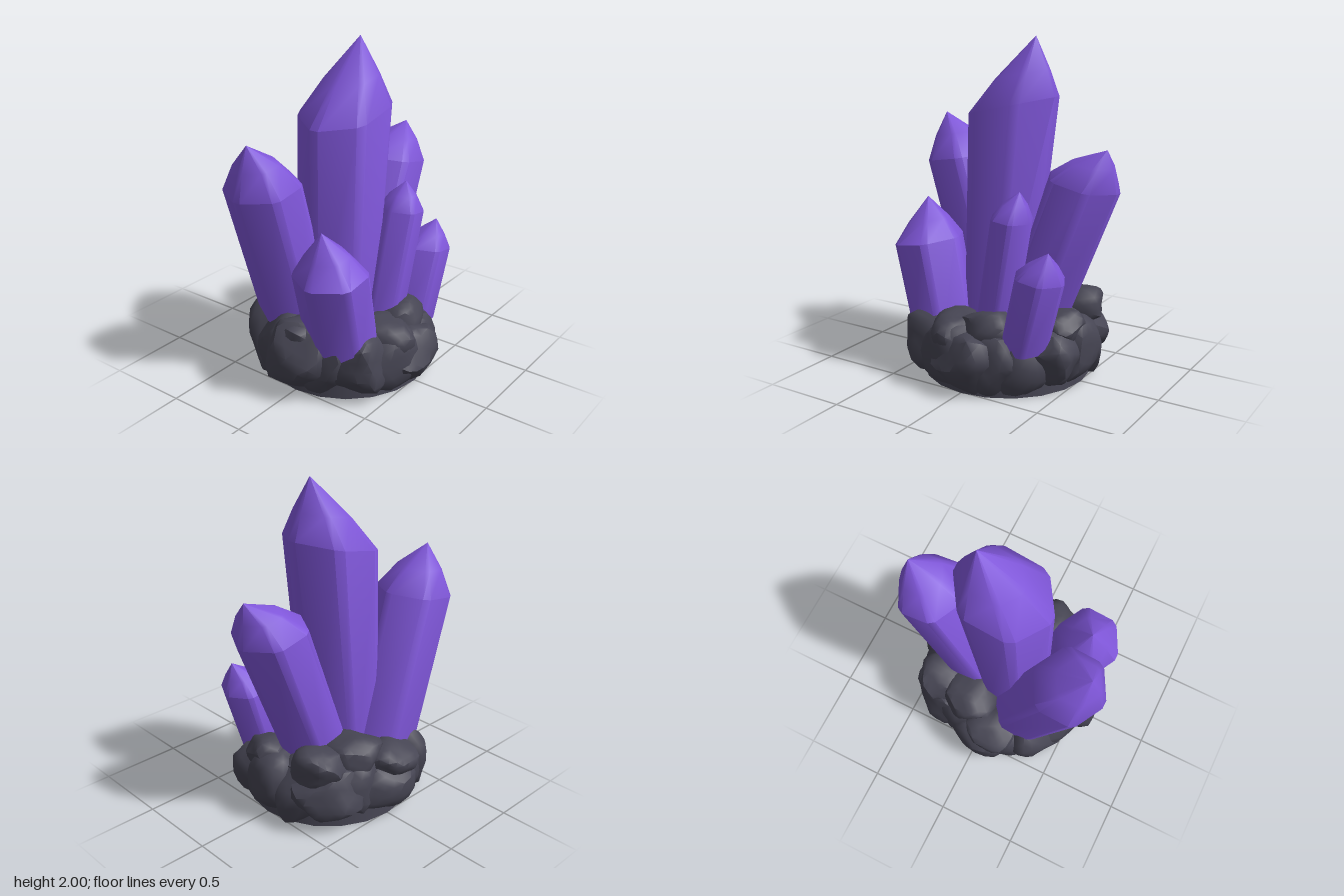
import * as THREE from 'three';
import { mergeVertices, toCreasedNormals } from 'three/addons/utils/BufferGeometryUtils.js';

const crystalMat = new THREE.MeshStandardMaterial({ color: 0x7f56d9 });
crystalMat.name = 'crystalPurple';
const rockMat = new THREE.MeshStandardMaterial({ color: 0x464553 });
rockMat.name = 'darkRock';

// Small seeded generator, range 0..1
function seeded(seed) {
  let s = seed * 7919 + 17;
  return () => {
    s = (s * 16807) % 2147483647;
    return s / 2147483647;
  };
}

// Six-sided prism with softened corners, leaning from foot to shoulder, then a rounded point.
// slope tilts the shoulder along x; taper narrows the foot in x; bulge rounds the point.
function makeCrystal(name, foot, shoulder, tip, rx, rz, slope, taper, bulge) {
  const corners = Array.from({ length: 6 }, (_, i) => {
    const a = (i * Math.PI) / 3;
    return new THREE.Vector2(Math.cos(a) * rx * 1.06, (-Math.sin(a) * rz) / 0.866);
  });
  // Cut every corner into two points
  const outline = corners.flatMap((p, i) => [
    p.clone().lerp(corners[(i + 5) % 6], 0.12),
    p.clone().lerp(corners[(i + 1) % 6], 0.12),
  ]);

  const n = outline.length;
  const end = new THREE.Vector3(...tip);
  const top = outline.map((p) => new THREE.Vector3(
    shoulder[0] + p.x, shoulder[1] + p.x * slope, shoulder[2] + p.y));
  const bevel = top.map((p) => {
    const q = p.clone().lerp(end, 0.4);
    q.y += (end.y - p.y) * bulge;
    return q;
  });
  const bottom = outline.map((p) => new THREE.Vector3(
    foot[0] + p.x * taper, foot[1], foot[2] + p.y * 0.98));

  const index = [];
  for (let i = 0; i < n; i++) {
    const j = (i + 1) % n;
    for (let k = 0; k < 2 * n; k += n) {
      index.push(k + i, k + j, k + n + j, k + i, k + n + j, k + n + i);
    }
    index.push(2 * n + i, 2 * n + j, 3 * n);
  }
  const geo = new THREE.BufferGeometry().setFromPoints([...bottom, ...top, ...bevel, end]);
  geo.setIndex(index);
  const mesh = new THREE.Mesh(toCreasedNormals(geo, 0.7), crystalMat);
  mesh.name = name;
  return mesh;
}

// Blocky chipped boulder, cut flat at the ground
function makeBoulder(name, x, y, z, rx, ry, rz, turn, seed) {
  const rand = seeded(seed);
  let geo = new THREE.IcosahedronGeometry(1, 3);
  geo.deleteAttribute('normal');
  geo.deleteAttribute('uv');
  geo = mergeVertices(geo, 1e-3);
  const planes = Array.from({ length: 12 }, () => new THREE.Vector3(
    rand() - 0.5, rand() - 0.5, rand() - 0.5).normalize());
  const tilt = (rand() - 0.5) * 0.7;
  const p = geo.attributes.position;
  const v = new THREE.Vector3();
  const right = new THREE.Vector3(1, 0, 0);
  for (let i = 0; i < p.count; i++) {
    v.fromBufferAttribute(p, i);
    // Square the ball off, then flatten it against random planes
    v.divideScalar(Math.cbrt(Math.abs(v.x) ** 3 + Math.abs(v.y) ** 3 + Math.abs(v.z) ** 3));
    planes.forEach((d) => {
      const over = v.dot(d) - 0.9;
      if (over > 0) v.addScaledVector(d, -over);
    });
    v.multiplyScalar(1 + (rand() - 0.5) * 0.05);
    v.set(v.x * rx, v.y * ry, v.z * rz).applyAxisAngle(right, tilt);
    v.applyAxisAngle(THREE.Object3D.DEFAULT_UP, turn);
    p.setXYZ(i, v.x + x, Math.max(0, v.y + y), v.z + z);
  }
  const mesh = new THREE.Mesh(toCreasedNormals(geo, 0.8), rockMat);
  mesh.name = name;
  return mesh;
}

// How far each rim boulder reaches, in even steps from +x round by the front
const rimReach = [0.6, 0.61, 0.54, 0.56, 0.61, 0.57, 0.62, 0.58, 0.65, 0.58, 0.61, 0.58, 0.61, 0.55, 0.62, 0.58];

// Upper boulders: x, centre height, z, radius
const crown = [
  [-0.08, 0.41, 0.08, 0.12], [0.08, 0.34, 0.32, 0.17], [-0.12, 0.31, 0.38, 0.16],
  [0.4, 0.33, 0.08, 0.15], [0.34, 0.37, -0.28, 0.16], [0.12, 0.39, -0.32, 0.17],
  [-0.08, 0.31, -0.42, 0.17], [-0.46, 0.34, 0.0, 0.14], [0.1, 0.38, 0.14, 0.1],
];

export function createModel() {
  const model = new THREE.Group();
  model.name = 'crystalCluster';

  const crystals = new THREE.Group();
  crystals.name = 'crystals';
  crystals.add(
    makeCrystal('mainCrystal', [-0.07, 0.3, -0.03], [0.02, 1.6, -0.03], [0.17, 2, -0.03], 0.29, 0.24, 0.22, 0.72, 0.05),
    makeCrystal('backLeftCrystal', [-0.21, 0.3, -0.225], [-0.485, 1.23, -0.23], [-0.6, 1.5, -0.23], 0.215, 0.21, 0.16, 1, 0.12),
    makeCrystal('rightCrystal', [0.15, 0.3, -0.04], [0.49, 1.19, -0.04], [0.64, 1.39, -0.01], 0.21, 0.21, -0.22, 1, 0.15),
    makeCrystal('frontLeftCrystal', [-0.32, 0.28, 0.205], [-0.43, 0.79, 0.205], [-0.46, 1.04, 0.17], 0.2, 0.205, 0.15, 0.97, 0.06),
    makeCrystal('frontCrystal', [0.05, 0.3, 0.22], [0.19, 1.0, 0.26], [0.24, 1.16, 0.26], 0.12, 0.128, -0.12, 1, 0.13),
    makeCrystal('frontRightCrystal', [0.28, 0.25, 0.28], [0.4, 0.7, 0.305], [0.47, 0.86, 0.34], 0.145, 0.145, -0.15, 1, 0.08),
  );

  // Rock base: a solid core ringed and topped with boulders
  const base = new THREE.Group();
  base.name = 'rockBase';
  const core = new THREE.Mesh(new THREE.CylinderGeometry(0.47, 0.51, 0.35, 20), rockMat);
  core.name = 'rockCore';
  core.position.y = 0.175;
  base.add(core);
  // The rim varies in width and stands higher at the sides
  const rand = seeded(5);
  rimReach.forEach((reach, i) => {
    const a = (i / rimReach.length) * Math.PI * 2;
    const c = Math.cos(a);
    const s = Math.sin(a);
    const top = 0.365 + 0.08 * Math.abs(c) - 0.03 * c + (rand() - 0.5) * 0.04;
    const y = top * (0.4 + rand() * 0.15);
    const r = reach - 0.2;
    base.add(makeBoulder('rimBoulder', c * r, y, s * r, 0.2, top - y, 0.15 + rand() * 0.08, -a, i + 3));
  });
  crown.forEach(([x, y, z, r], i) => {
    base.add(makeBoulder('crownBoulder', x, y, z, r, 0.12, r, i * 1.3, i + 40));
  });

  model.add(crystals, base);
  return model;
}
